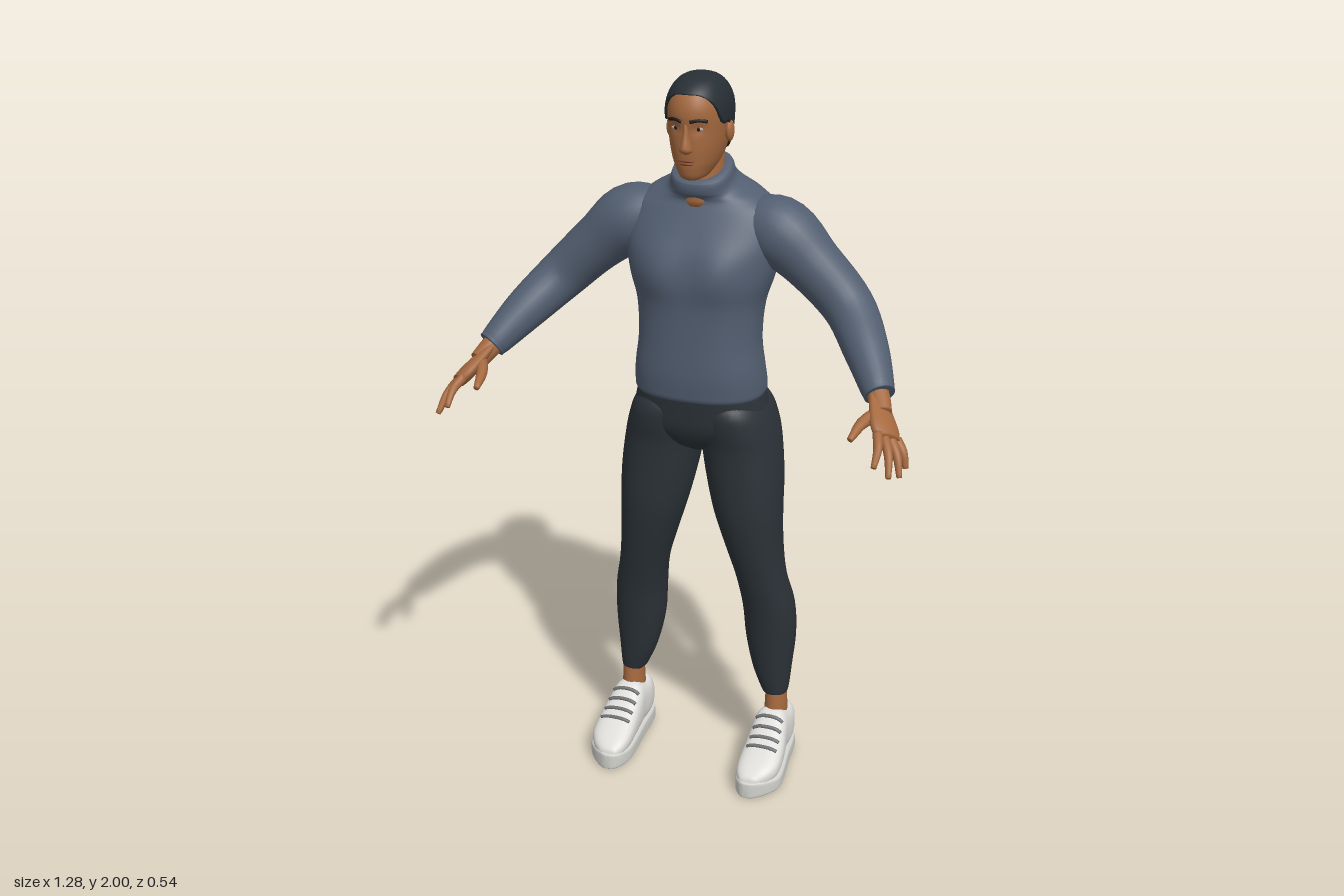
import * as THREE from 'three';

const mat = (name, color, extra = {}) => new THREE.MeshStandardMaterial({ name, color, ...extra });
const gauss = (v, w) => Math.exp(-((v / w) ** 2));
const pw = (v, e) => Math.sign(v) * Math.abs(v) ** e;

// Smooth interpolation in a table whose first column is the position
function at(rows, t) {
  let i = 0;
  while (i < rows.length - 2 && t > rows[i + 1][0]) i++;
  const a = rows[i], b = rows[i + 1], h = b[0] - a[0];
  const p = rows[Math.max(i - 1, 0)], n = rows[Math.min(i + 2, rows.length - 1)];
  const s = Math.min(Math.max((t - a[0]) / h, 0), 1), s2 = s * s, s3 = s2 * s;
  return a.slice(1).map((v, k) => {
    const c = k + 1;
    const ma = (b[c] - p[c]) / (b[0] - p[0]) * h, mb = (n[c] - a[c]) / (n[0] - a[0]) * h;
    return (2 * s3 - 3 * s2 + 1) * v + (s3 - 2 * s2 + s) * ma + (3 * s2 - 2 * s3) * b[c] + (s3 - s2) * mb;
  });
}

// Positions through a table, k steps for each row
const steps = (rows, k = 4) => rows.flatMap((r, i) => i === rows.length - 1 ? [r[0]]
  : Array.from({ length: k }, (_, j) => r[0] + (rows[i + 1][0] - r[0]) * j / k));

// Closed rings of fn(t, angle) joined into a skin, with optional end caps
function skin(ts, nu, fn, cap = true) {
  const rings = ts.map(t => Array.from({ length: nu }, (_, i) => fn(t, i / nu * Math.PI * 2)));
  const collapse = r => {
    const c = [0, 1, 2].map(k => r.reduce((s, p) => s + p[k], 0) / nu);
    return r.map(() => c);
  };
  if (cap) { rings.unshift(collapse(rings[0])); rings.push(collapse(rings.at(-1))); }
  const idx = [];
  for (let j = 0; j < rings.length - 1; j++) for (let i = 0; i < nu; i++) {
    const n = (i + 1) % nu, a = j * nu + i, b = j * nu + n, c = b + nu, d = a + nu;
    idx.push(a, b, c, a, c, d);
  }
  const g = new THREE.BufferGeometry();
  g.setAttribute('position', new THREE.Float32BufferAttribute(rings.flat(2), 3));
  g.setIndex(idx);
  g.computeVertexNormals();
  return g;
}

// Upright loft, rows: y, half width, front z, back z, centre x
function loftPoint(rows, y, a, e) {
  const [hx, zf, zb, cx = 0] = at(rows, y);
  return [cx + hx * pw(Math.sin(a), e), y, (zf + zb) / 2 + (zf - zb) / 2 * pw(Math.cos(a), e)];
}
const loft = (rows, e = 1, warp = p => p, nu = 40) =>
  skin(steps(rows), nu, (y, a) => warp(loftPoint(rows, y, a, e)));

// Lengthwise loft, rows: z, centre x, half width, bottom y, top y
const shoePoint = (rows, z, a, e) => {
  const [cx, w, y0, y1] = at(rows, z);
  return [cx + w * pw(Math.cos(a), e), (y0 + y1) / 2 + (y1 - y0) / 2 * pw(Math.sin(a), e), z];
};

// Tapered limb through points x, y, z, radius
function limb(pts, { ref = [0, 0, 1], flat = 1, nu = 14, n = 16 } = {}) {
  const curve = new THREE.CatmullRomCurve3(pts.map(p => new THREE.Vector3(...p)));
  const rad = pts.map((p, i) => [i / (pts.length - 1), p[3]]);
  return skin(Array.from({ length: n + 1 }, (_, i) => i / n), nu, (t, a) => {
    const T = curve.getTangent(t), c = curve.getPoint(t), r = at(rad, t)[0];
    const v = new THREE.Vector3().crossVectors(T, new THREE.Vector3(...ref)).normalize();
    const u = new THREE.Vector3().crossVectors(v, T);
    return c.addScaledVector(u, r * Math.cos(a)).addScaledVector(v, r * flat * Math.sin(a)).toArray();
  });
}

const blob = (x, y, z, rx, ry, rz) => new THREE.SphereGeometry(1, 18, 12).scale(rx, ry, rz).translate(x, y, z);

function mirrored(geo) {
  const g = geo.clone().scale(-1, 1, 1), ix = g.index.array;
  for (let i = 0; i < ix.length; i += 3) [ix[i], ix[i + 1]] = [ix[i + 1], ix[i]];
  g.computeVertexNormals();
  return g;
}

export function createModel() {
  const root = new THREE.Group();
  root.name = 'standing man';
  const skinTone = mat('skin', 0xa5693f), knit = mat('blue grey knit', 0x525e70), cloth = mat('dark trousers', 0x2b3237);
  const hairMat = mat('hair', 0x272f35, { side: THREE.DoubleSide }), white = mat('shoe white', 0xdedddA);
  const soleMat = mat('sole', 0xd0d0cc), laceMat = mat('lace grey', 0x6e7173), lipMat = mat('lips', 0x84492f);
  const eyeMat = mat('eye white', 0xb9aca0), dark = mat('brow and iris', 0x1f1a18);
  const add = (name, geo, m) => {
    const mesh = new THREE.Mesh(geo, m);
    mesh.name = name;
    root.add(mesh);
  };
  const pair = (name, geo, m) => {
    add('left ' + name, geo, m);
    add('right ' + name, mirrored(geo), m);
  };

  // Sweater body with chest, spine groove and tilted collar
  const torso = [[1.139, .16, .0, -.22], [1.145, .175, .015, -.235], [1.165, .18, .02, -.24], [1.22, .176, .024, -.228],
    [1.3, .166, .022, -.225], [1.4, .172, .02, -.24], [1.47, .193, .022, -.255], [1.54, .208, .008, -.265],
    [1.6, .212, -.02, -.262], [1.65, .195, -.045, -.25], [1.68, .15, -.055, -.232], [1.7, .105, -.051, -.212],
    [1.72, .085, -.043, -.196], [1.75, .077, -.04, -.182], [1.756, .062, -.05, -.168]];
  add('sweater body', loft(torso, .85, ([x, y, z]) => {
    if (z > -.1) z += .014 * gauss(Math.abs(x) - .08, .055) * gauss(y - 1.5, .07);
    if (z < -.12) z += .018 * gauss(x, .03) * gauss(y - 1.42, .2);
    return [x, y - .45 * (z + .11) * THREE.MathUtils.smoothstep(y, 1.64, 1.74), z];
  }, 64), knit);

  // Sleeves
  pair('sleeve', limb([[.1, 1.61, -.14, .06], [.2, 1.592, -.138, .092], [.3, 1.515, -.128, .076], [.4, 1.42, -.11, .068],
    [.475, 1.338, -.02, .058], [.528, 1.27, .06, .043], [.536, 1.26, .071, .04]], { nu: 24, n: 32 }), knit);

  // Hands
  pair('wrist', limb([[.515, 1.285, .045, .03], [.54, 1.25, .085, .028], [.555, 1.228, .115, .025]]), skinTone);
  const spread = [.566, -.424, -.707];
  pair('palm', limb([[.531, 1.262, .07, .028], [.55, 1.234, .11, .037], [.57, 1.206, .148, .045], [.586, 1.186, .174, .04]],
    { ref: spread, flat: .45 }), skinTone);
  const tips = { 'index finger': [.575, 1.147, .266], 'middle finger': [.61, 1.12, .254], 'ring finger': [.628, 1.107, .212],
    'little finger': [.632, 1.113, .166] };
  Object.entries(tips).forEach(([name, tip], i) => {
    const k = [.582, 1.192, .166].map((c, j) => c + spread[j] * (-.033 + .022 * i));
    const mid = k.map((c, j) => (c + tip[j]) / 2 + [.006, .005, .003][j]);
    pair(name, limb([[...k, .013], [...mid, .011], [...tip, .007]], { nu: 10, n: 10 }), skinTone);
  });
  pair('thumb', limb([[.55, 1.235, .108, .017], [.518, 1.218, .17, .015], [.505, 1.197, .23, .008]], { nu: 10, n: 10 }), skinTone);

  // Trousers
  add('trouser seat', loft([[.975, .03, -.07, -.17], [1.0, .09, -.03, -.215], [1.05, .19, -.002, -.242], [1.1, .187, .005, -.245],
    [1.18, .165, .01, -.225]], .85), cloth);
  pair('trouser leg', loft([[.215, .03, -.112, -.178, .22], [.225, .037, -.104, -.188, .218], [.3, .056, -.094, -.207, .206],
    [.4, .071, -.083, -.225, .199], [.5, .073, -.07, -.223, .193], [.6, .07, -.05, -.202, .175], [.7, .08, -.03, -.206, .155],
    [.8, .094, -.015, -.216, .138], [.9, .105, -.012, -.235, .125], [1.0, .108, -.01, -.256, .111], [1.06, .102, 0, -.269, .103],
    [1.11, .09, 0, -.262, .095], [1.15, .06, -.03, -.23, .09]], .92), cloth);
  pair('ankle', loft([[.12, .034, -.098, -.188, .222], [.17, .032, -.1, -.187, .222], [.24, .03, -.108, -.18, .222]]), skinTone);

  // Shoes
  const upper = [[-.212, .222, .03, .03, .12], [-.2, .222, .042, .03, .158], [-.15, .222, .05, .03, .164], [-.11, .222, .05, .03, .178],
    [-.09, .222, .052, .03, .172], [-.03, .225, .058, .03, .13], [.03, .225, .059, .03, .098], [.07, .219, .045, .03, .078],
    [.095, .213, .022, .03, .058]];
  const sole = [[-.217, .222, .028, 0, .05], [-.2, .222, .045, 0, .052], [-.1, .224, .054, 0, .05], [0, .227, .064, 0, .048],
    [.04, .225, .062, 0, .048], [.08, .217, .042, 0, .05], [.1, .212, .02, 0, .05], [.105, .211, .008, .004, .046]];
  pair('shoe upper', skin(steps(upper), 32, (z, a) => shoePoint(upper, z, a, .75)), white);
  pair('shoe sole', skin(steps(sole), 40, (z, a) => shoePoint(sole, z, a, .35)), soleMat);
  for (let i = 0; i < 4; i++) {
    const arc = Array.from({ length: 7 }, (_, k) =>
      [...shoePoint(upper, -.08 + .027 * i, .85 + k * .24, .75), .0055]);
    pair('lace ' + (i + 1), limb(arc, { nu: 8, n: 12 }), laceMat);
  }

  // Head and neck
  const head = [[1.738, .022, -.012, -.08], [1.745, .034, 0, -.11], [1.765, .048, .007, -.155], [1.785, .058, .01, -.172],
    [1.82, .068, .013, -.19], [1.86, .074, .014, -.201], [1.9, .076, .018, -.204], [1.93, .073, .014, -.198],
    [1.96, .06, -.002, -.178], [1.98, .042, -.03, -.148], [1.989, .022, -.06, -.118], [1.992, .001, -.088, -.09]];
  const face = p => {
    if (p[2] > -.05) p[2] -= .007 * gauss(Math.abs(p[0]) - .03, .016) * gauss(p[1] - 1.874, .013);
    return p;
  };
  add('head', loft(head, .92, face, 64), skinTone);
  add('neck', loft([[1.66, .062, -.05, -.175], [1.72, .059, -.05, -.17], [1.8, .056, -.055, -.17]]), skinTone);
  const faceZ = (x, y) => {
    const [hx, zf, zb] = at(head, y), s = Math.abs(x / hx) ** (1 / .92);
    return face([x, y, (zf + zb) / 2 + (zf - zb) / 2 * Math.sqrt(1 - s * s) ** .92])[2];
  };
  add('nose', loft([[1.81, .007, .018, -.01], [1.817, .016, .03, -.01], [1.828, .015, .033, -.01], [1.855, .009, .025, -.01],
    [1.885, .007, .017, -.01]], 1, undefined, 20), skinTone);
  add('upper lip', blob(0, 1.793, faceZ(0, 1.793), .022, .0045, .007), lipMat);
  add('lower lip', blob(0, 1.785, faceZ(0, 1.785), .018, .005, .007), lipMat);
  pair('eye', blob(.03, 1.873, faceZ(.03, 1.873), .012, .005, .003), eyeMat);
  pair('iris', blob(.03, 1.873, faceZ(.03, 1.873) + .002, .005, .005, .002), dark);
  pair('eyebrow', limb([.011, .03, .05].map((x, i) =>
    [x, 1.892 + [0, .004, 0][i], faceZ(x, 1.893), .0045]), { nu: 8, n: 8 }), dark);
  pair('ear', blob(.079, 1.854, -.095, .011, .028, .019), skinTone);

  // Hair cap with a hairline that drops from forehead to nape
  const line = [[0, 1.957], [.5, 1.953], [.9, 1.93], [1.2, 1.882], [1.5, 1.878], [1.8, 1.83], [2.3, 1.797], [Math.PI, 1.785]];
  const layers = [0, .001, ...Array.from({ length: 20 }, (_, i) => (i + 1) / 20)];
  add('hair', skin(layers, 64, (t, a) => {
    const b = at(line, Math.min(a, Math.PI * 2 - a))[0];
    const p = loftPoint(head, b + (1.992 - b) * Math.sin(t * Math.PI / 2), a, .92);
    const o = t === 0 ? -.004 : .007 * (1 - t ** 8);
    return [p[0] + o * Math.sin(a), p[1] + .008 * t, p[2] + o * Math.cos(a)];
  }, false), hairMat);

  return root;
}
